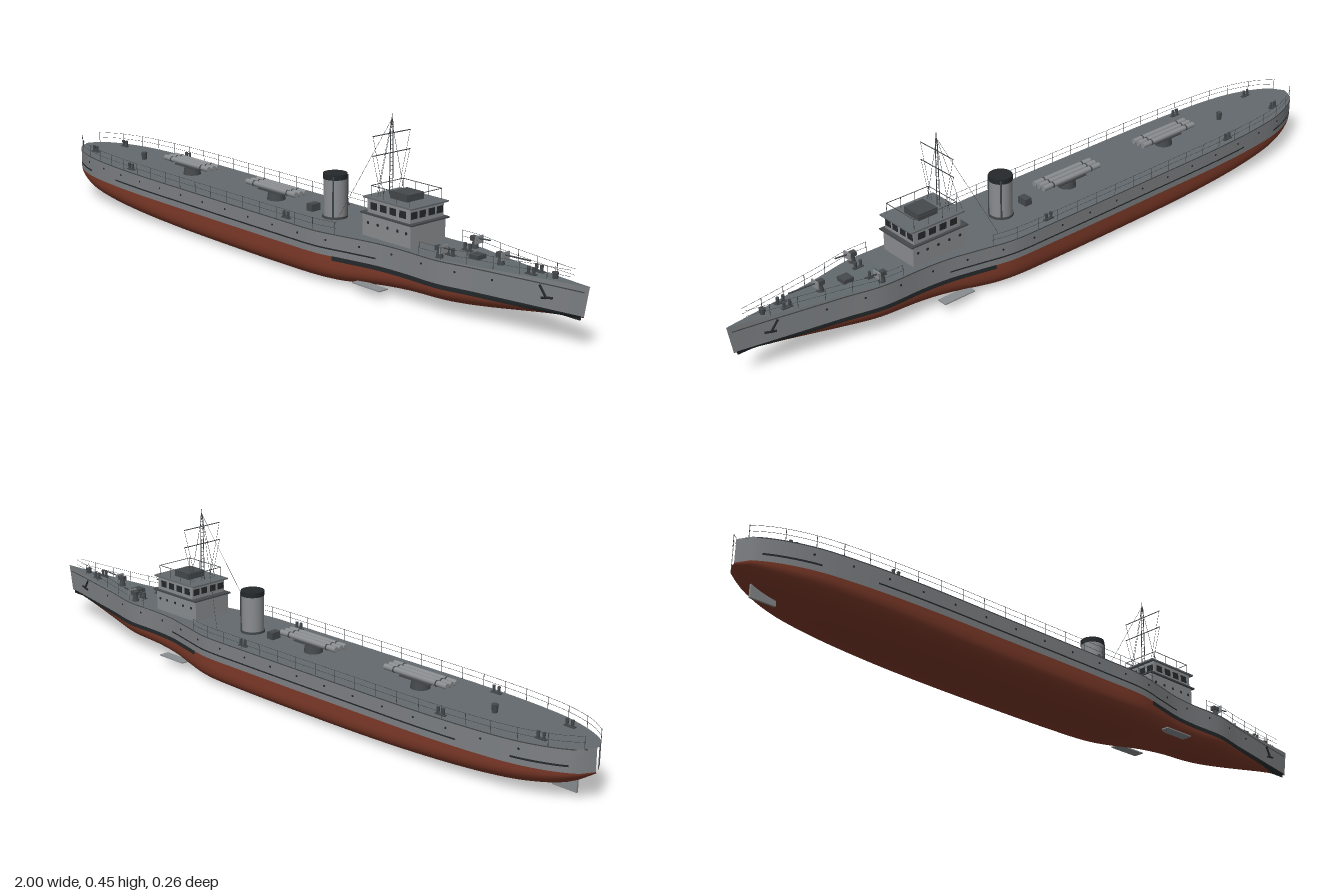
import * as THREE from 'three';

const mat = (name, color, side = THREE.FrontSide) => {
  const m = new THREE.MeshStandardMaterial({ color, side });
  m.name = name;
  return m;
};

// Smooth curve through [x, value] points
function spline(pts) {
  const slope = i => {
    const a = pts[Math.max(i - 1, 0)], b = pts[Math.min(i + 1, pts.length - 1)];
    return (b[1] - a[1]) / (b[0] - a[0]);
  };
  return x => {
    let i = 0;
    while (i < pts.length - 2 && x > pts[i + 1][0]) i++;
    const [x0, y0] = pts[i], [x1, y1] = pts[i + 1], h = x1 - x0;
    const t = Math.min(Math.max((x - x0) / h, 0), 1), u = 1 - t;
    return y0 * (1 + 2 * t) * u * u + slope(i) * h * t * u * u
      + y1 * t * t * (3 - 2 * t) - slope(i + 1) * h * t * t * u;
  };
}

// Hull lines: half beam, keel height, deck height, bilge fullness
const beam = spline([[-1, 0.004], [-0.98, 0.04], [-0.9, 0.083], [-0.8, 0.108], [-0.6, 0.124], [-0.3, 0.127],
  [0.1, 0.127], [0.22, 0.124], [0.32, 0.103], [0.4, 0.086], [0.48, 0.079], [0.6, 0.077], [0.7, 0.056],
  [0.8, 0.037], [0.9, 0.018], [1, 0.001]]);
const keel = spline([[-1, 0.076], [-0.95, 0.045], [-0.9, 0.029], [-0.8, 0.015], [-0.6, 0.006], [-0.2, 0.001],
  [0.25, 0.003], [0.4, 0.018], [0.5, 0.025], [0.62, 0.028], [0.7, 0.035], [0.8, 0.05], [0.9, 0.066], [1, 0.078]]);
const deckY = spline([[-1, 0.14], [0.4, 0.14], [0.7, 0.144], [1, 0.154]]);
const fullness = spline([[-1, 1.8], [-0.7, 3], [-0.3, 4.2], [0.3, 3.8], [0.6, 2.6], [1, 1.4]]);
const WATER = 0.08;

function halfWidth(x, y) {
  if (y >= WATER) return beam(x);
  const t = Math.max((y - keel(x)) / (WATER - keel(x)), 0), n = fullness(x);
  return beam(x) * Math.pow(Math.max(1 - Math.pow(1 - t, n), 0), 1 / n);
}
// Stem rakes slightly forward
const rake = (x, y) => x - 0.012 * Math.max(0, (x - 0.9) / 0.1) * (deckY(x) - y) / 0.07;

// Skin over a grid of points
function loft(x0, x1, nx, nj, point) {
  const pos = [], idx = [], row = nj + 1;
  for (let i = 0; i <= nx; i++) for (let j = 0; j <= nj; j++)
    pos.push(...point(x0 + (x1 - x0) * i / nx, j / nj));
  for (let i = 0; i < nx; i++) for (let j = 0; j < nj; j++) {
    const a = i * row + j, c = a + row;
    idx.push(a, a + 1, c, a + 1, c + 1, c);
  }
  const g = new THREE.BufferGeometry();
  g.setAttribute('position', new THREE.Float32BufferAttribute(pos, 3));
  g.setIndex(idx);
  g.computeVertexNormals();
  return g;
}

export function createModel() {
  const root = new THREE.Group();
  root.name = 'ship';
  const hullGrey = mat('hull grey', 0x7d8083);
  const deckGrey = mat('deck grey', 0x636a6e);
  const red = mat('antifouling red', 0x7e3a29);
  const black = mat('black', 0x25292b, THREE.DoubleSide);
  const houseGrey = mat('house grey', 0x8a8d90);
  const dark = mat('fitting grey', 0x45494c);

  const add = (name, geo, m, x = 0, y = 0, z = 0) => {
    const o = new THREE.Mesh(geo, m);
    o.name = name;
    o.position.set(x, y, z);
    root.add(o);
    return o;
  };
  const box = (name, m, sx, sy, sz, x, y, z) => add(name, new THREE.BoxGeometry(sx, sy, sz), m, x, y, z);
  const cyl = (name, m, r0, r1, h, x, y, z, n = 16) => add(name, new THREE.CylinderGeometry(r0, r1, h, n), m, x, y, z);
  // Thin round bar between two points
  const rod = (name, m, a, b, r = 0.0008, n = 5) => {
    const p = new THREE.Vector3(...a), q = new THREE.Vector3(...b);
    const o = add(name, new THREE.CylinderGeometry(r, r, p.distanceTo(q), n), m);
    o.position.copy(p).add(q).multiplyScalar(0.5);
    o.quaternion.setFromUnitVectors(new THREE.Vector3(0, 1, 0), q.sub(p).normalize());
    return o;
  };

  // Hull
  add('lowerHull', loft(-1, 1, 100, 32, (x, v) => {
    const a = (v * 2 - 1) * Math.PI / 2, k = keel(x);
    const y = WATER - (WATER - k) * Math.pow(Math.cos(a), 0.7);
    const z = Math.abs(v - 0.5) < 1e-6 ? 0 : halfWidth(x, y);
    return [rake(x, y), y, v < 0.5 ? z : -z];
  }), red);
  // Strip following one hull side between two heights
  const sideStrip = (name, m, x0, x1, low, high, s, out = 0, nx = 100) => add(name, loft(x0, x1, nx, 3, (x, v) => {
    const top = high ?? deckY(x), y = s > 0 ? top + (low - top) * v : low + (top - low) * v;
    return [rake(x, y), y, s * (halfWidth(x, y) + out)];
  }), m);
  for (const s of [1, -1]) {
    sideStrip('upperHull', hullGrey, -1, 1, WATER, null, s);
    sideStrip('bootTopping', black, 0.27, 0.99, 0.069, 0.081, s, 0.0008, 50);
    sideStrip('rubbingStrake', black, -0.68, 0.4, 0.097, 0.101, s, 0.001, 60);
    sideStrip('sternStrake', black, -0.96, -0.83, 0.095, 0.1, s, 0.001, 20);
    sideStrip('deckEdge', dark, -0.99, 0.99, 0.137, 0.14, s, 0.0006);
    // Portholes
    for (let i = 0; i < 17; i++) {
      const x = -0.85 + i * 0.1;
      cyl('porthole', black, 0.003, 0.003, 0.002, x, 0.12, s * beam(x), 8).rotation.x = Math.PI / 2;
    }
    // Anchors
    const z = s * 0.022;
    rod('anchorShank', black, [0.875, 0.135, z + s * 0.003], [0.895, 0.105, z], 0.003);
    rod('anchorFluke', black, [0.88, 0.105, z + s * 0.002], [0.91, 0.11, z - s * 0.003], 0.003);
    // Bilge fins
    box('bilgeFin', houseGrey, 0.098, 0.003, 0.03, 0.385, 0.025, s * 0.091);
  }
  add('deck', loft(-1, 1, 100, 4, (x, v) => [x, deckY(x), (v * 2 - 1) * beam(x)]), deckGrey);
  box('rudder', houseGrey, 0.07, 0.045, 0.006, -0.915, 0.034, 0);

  // Railings
  for (const s of [1, -1]) {
    const edge = (x, h) => [x, deckY(x) + h, s * (beam(x) - 0.002)];
    for (const [x0, x1] of [[-0.985, 0.28], [0.54, 0.95]]) {
      for (const h of [0.016, 0.031]) {
        const pts = [];
        for (let i = 0; i <= 30; i++) pts.push(new THREE.Vector3(...edge(x0 + (x1 - x0) * i / 30, h)));
        add('railWire', new THREE.TubeGeometry(new THREE.CatmullRomCurve3(pts), 60, 0.0005, 3), dark);
      }
      for (let x = x0; x <= x1; x += 0.07) rod('railPost', dark, edge(x, 0), edge(x, 0.032), 0.0009, 4);
    }
  }

  // Bridge house
  box('lowerHouse', houseGrey, 0.17, 0.062, 0.122, 0.41, 0.169, 0);
  box('bridgeLedge', dark, 0.182, 0.004, 0.134, 0.412, 0.2, 0);
  box('wheelhouse', houseGrey, 0.15, 0.04, 0.118, 0.415, 0.221, 0);
  box('bridgeRoof', deckGrey, 0.172, 0.004, 0.13, 0.415, 0.241, 0);
  box('chartHouse', dark, 0.06, 0.018, 0.06, 0.42, 0.252, 0);
  for (let i = 0; i < 4; i++) for (const s of [1, -1])
    box('sideWindow', black, 0.022, 0.018, 0.002, 0.363 + i * 0.034, 0.221, s * 0.0592);
  for (const z of [-0.045, -0.016, 0.016, 0.045]) {
    box('frontWindow', black, 0.002, 0.018, 0.021, 0.4902, 0.221, z);
    box('rearWindow', black, 0.002, 0.018, 0.021, 0.3398, 0.221, z);
  }
  for (const s of [1, -1]) {
    rod('bridgeRail', dark, [0.35, 0.272, s * 0.056], [0.485, 0.272, s * 0.056], 0.001);
    for (const x of [0.35, 0.395, 0.44, 0.485]) rod('bridgePost', dark, [x, 0.242, s * 0.056], [x, 0.272, s * 0.056]);
    for (const x of [0.345, 0.38, 0.415, 0.45, 0.48])
      cyl('housePorthole', black, 0.004, 0.004, 0.002, x, 0.176, s * 0.061, 10).rotation.x = Math.PI / 2;
  }
  for (const x of [0.35, 0.485]) rod('bridgeRail', dark, [x, 0.272, -0.056], [x, 0.272, 0.056], 0.001);

  // Lattice mast, yards and rigging
  for (const s of [1, -1]) {
    rod('mastLeg', dark, [0.363, 0.24, s * 0.006], [0.363, 0.425, s * 0.004], 0.0012);
    rod('mastCap', dark, [0.363, 0.425, s * 0.004], [0.363, 0.44, 0], 0.001);
    rod('aftStay', dark, [0.362, 0.435, 0], [0.225, 0.14, s * 0.07], 0.0005, 3);
    rod('sideStay', dark, [0.363, 0.43, 0], [0.363, 0.242, s * 0.046], 0.0006, 3);
    rod('upperHalyard', dark, [0.363, 0.4, s * 0.065], [0.363, 0.242, s * 0.025], 0.0005, 3);
    rod('lowerHalyard', dark, [0.363, 0.35, s * 0.065], [0.363, 0.242, s * 0.035], 0.0005, 3);
  }
  for (let y = 0.25; y < 0.425; y += 0.011) rod('mastRung', dark, [0.363, y, -0.006], [0.363, y, 0.006], 0.0007, 4);
  rod('topmast', dark, [0.363, 0.42, 0], [0.363, 0.45, 0], 0.001);
  for (const y of [0.35, 0.4]) rod('yard', dark, [0.363, y, -0.066], [0.363, y, 0.066], 0.0013);

  // Funnel
  cyl('funnel', houseGrey, 0.031, 0.031, 0.105, 0.155, 0.192, 0, 24);
  cyl('funnelBand', black, 0.0325, 0.0325, 0.014, 0.155, 0.252, 0, 24);
  cyl('funnelFoot', dark, 0.034, 0.034, 0.006, 0.155, 0.143, 0, 24);
  for (const z of [-0.025, 0.025])
    rod('steamPipe', dark, [0.175, 0.14, z], [0.175, 0.255, z], 0.0025, 8);
  box('ventBox', dark, 0.022, 0.02, 0.03, 0.07, 0.15, 0);

  // Triple tube mounts
  for (const x of [-0.462, -0.083]) {
    cyl('mountBase', dark, 0.022, 0.026, 0.024, x, 0.152, 0);
    box('mountCradle', dark, 0.1, 0.004, 0.05, x, 0.165, 0);
    for (const z of [-0.018, 0, 0.018]) {
      rod('launchTube', houseGrey, [x - 0.103, 0.174, z], [x + 0.103, 0.174, z], 0.0078, 12);
      for (const e of [-0.07, 0.07]) rod('tubeBand', dark, [x + e - 0.002, 0.174, z], [x + e + 0.002, 0.174, z], 0.0086, 12);
    }
  }

  // Guns
  const gun = (x, z, len) => {
    const y = deckY(x);
    cyl('gunPedestal', dark, 0.006, 0.01, 0.02, x, y + 0.01, z, 10);
    box('gunBody', dark, 0.022, 0.012, 0.014, x, y + 0.024, z);
    box('gunShield', houseGrey, 0.003, 0.02, 0.028, x + 0.013, y + 0.024, z);
    rod('gunBarrel', dark, [x, y + 0.026, z], [x + len, y + 0.03, z], 0.002, 8);
  };
  gun(0.595, 0.062, 0.05);
  gun(0.595, -0.062, 0.05);
  gun(0.735, 0, 0.09);

  // Deck fittings
  for (const [x, z] of [[-0.88, 0.055], [-0.88, -0.055], [0.84, 0.014], [0.84, -0.014], [0.6, 0.03], [0.6, -0.03],
    [-0.62, 0.105], [-0.62, -0.105], [0.08, 0.105], [0.08, -0.105]]) {
    box('bollardBase', dark, 0.03, 0.003, 0.01, x, deckY(x) + 0.0015, z);
    for (const e of [-0.008, 0.008]) cyl('bollard', dark, 0.0045, 0.0035, 0.018, x + e, deckY(x) + 0.01, z, 10);
  }
  cyl('aftCapstan', dark, 0.009, 0.007, 0.022, -0.7, 0.151, 0, 12);
  cyl('foreCapstan', dark, 0.008, 0.006, 0.018, 0.9, 0.157, 0, 12);
  box('forwardHatch', dark, 0.03, 0.012, 0.03, 0.66, 0.148, 0);
  rod('jackstaff', dark, [0.9, 0.15, 0], [0.9, 0.18, 0]);
  return root;
}
